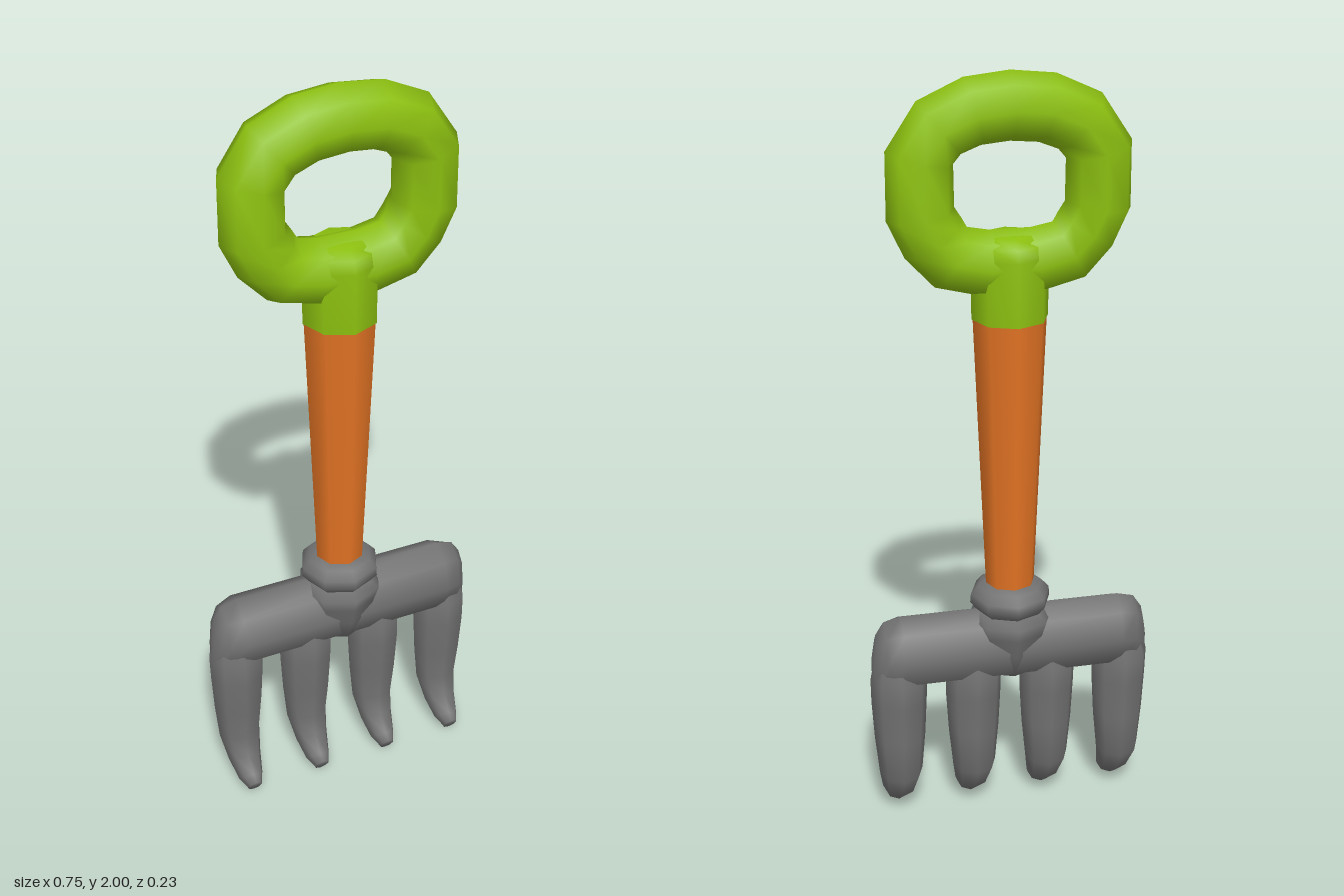
import * as THREE from 'three';

const SIDES = 8;
const material = (name, color) => {
  const m = new THREE.MeshStandardMaterial({ color });
  m.name = name;
  return m;
};

// Skin a row of elliptical sections {c, u, v} (u x v points along the row)
function loft(sections, closed = false) {
  const pos = [], idx = [], n = sections.length;
  for (const { c, u, v } of sections)
    for (let j = 0; j < SIDES; j++) {
      const a = (j / SIDES) * Math.PI * 2;
      pos.push(...c.clone().addScaledVector(u, Math.cos(a)).addScaledVector(v, Math.sin(a)).toArray());
    }
  for (let k = 0; k < (closed ? n : n - 1); k++)
    for (let j = 0; j < SIDES; j++) {
      const j2 = (j + 1) % SIDES, k2 = (k + 1) % n;
      const a = k * SIDES + j, b = k * SIDES + j2, c = k2 * SIDES + j, d = k2 * SIDES + j2;
      idx.push(a, b, c, b, d, c);
    }
  if (!closed) {
    const s = n * SIDES, last = (n - 1) * SIDES;
    pos.push(...sections[0].c.toArray(), ...sections[n - 1].c.toArray());
    for (let j = 0; j < SIDES; j++) {
      const j2 = (j + 1) % SIDES;
      idx.push(s, j2, j, s + 1, last + j, last + j2);
    }
  }
  const g = new THREE.BufferGeometry();
  g.setAttribute('position', new THREE.Float32BufferAttribute(pos, 3));
  g.setIndex(idx);
  g.computeVertexNormals();
  return g;
}

const V = (x, y, z) => new THREE.Vector3(x, y, z);
const lathe = (pts) => new THREE.LatheGeometry(pts.map(([r, y]) => new THREE.Vector2(r, y)), SIDES);

export function createModel() {
  const green = material('green grip', 0x8cc010);
  const orange = material('orange shaft', 0xe27324);
  const grey = material('grey metal', 0x727272);
  const group = new THREE.Group();
  group.name = 'handFork';
  const add = (name, geometry, mat) => {
    const mesh = new THREE.Mesh(geometry, mat);
    mesh.name = name;
    group.add(mesh);
    return mesh;
  };

  // Looped grip: half of the centre line, mirrored, running clockwise
  const half = [[0.09, 1.908], [0.17, 1.873], [0.217, 1.805], [0.217, 1.67], [0.187, 1.61], [0.145, 1.56], [0.06, 1.54]];
  const path = [[0, 1.917], ...half, ...half.slice().reverse().map(([x, y]) => [-x, y])];
  const gripSections = path.map(([x, y], i) => {
    const p = path[(i + path.length - 1) % path.length], q = path[(i + 1) % path.length];
    const d = V(q[0] - p[0], q[1] - p[1], 0).normalize();
    return { c: V(x, y, 0), u: V(-d.y, d.x, 0).multiplyScalar(0.083), v: V(0, 0, 0.083) };
  });
  add('gripLoop', loft(gripSections, true), green);

  // Collar with a rounded top, then the tapered shaft
  add('gripCollar', lathe([[0.096, 1.4], [0.097, 1.56], [0.085, 1.59], [0.058, 1.61], [0, 1.612]]), green);
  const shaft = add('shaft', new THREE.CylinderGeometry(0.093, 0.063, 0.74, SIDES), orange);
  shaft.position.y = 1.03;

  // Metal ferrule and the socket tapering into the head
  add('ferrule', lathe([[0, 0.595], [0.085, 0.598], [0.106, 0.625], [0.104, 0.648], [0.085, 0.67], [0.055, 0.682], [0, 0.682]]), grey);
  add('socket', lathe([[0, 0.4], [0.055, 0.42], [0.085, 0.49], [0.1, 0.545], [0.112, 0.582], [0.085, 0.604], [0, 0.606]]), grey);

  // Cross bar, from x, top, bottom and half depth
  const end = [[0.29, 0.606, 0.4, 0.079], [0.335, 0.595, 0.39, 0.06], [0.358, 0.56, 0.38, 0.035], [0.369, 0.5, 0.38, 0.012]];
  const bar = [...end.slice().reverse().map(([x, ...r]) => [-x, ...r]), ...end];
  add('crossBar', loft(bar.map(([x, t, b, rz]) => ({
    c: V(x, (t + b) / 2, -0.003), u: V(0, (t - b) / 2, 0), v: V(0, 0, rz),
  }))), grey);

  // Curved tines, from front z and y, back z and y, and half width
  const tine = [
    [0.03, 0.56, -0.04, 0.56, 0.05],
    [0.066, 0.43, -0.075, 0.43, 0.075],
    [0.066, 0.36, -0.068, 0.36, 0.074],
    [0.058, 0.25, -0.061, 0.25, 0.068],
    [0.05, 0.155, -0.055, 0.13, 0.058],
    [0.063, 0.1, 0.0, 0.05, 0.046],
    [0.098, 0.057, 0.05, 0.012, 0.034],
    [0.115, 0.042, 0.095, 0.001, 0.02],
  ];
  for (const x of [-0.3, -0.1, 0.1, 0.3])
    add('tine', loft(tine.map(([fz, fy, bz, by, rx]) => ({
      c: V(x, (fy + by) / 2, (fz + bz) / 2),
      u: V(rx, 0, 0),
      v: V(0, (fy - by) / 2, (fz - bz) / 2),
    }))), grey);

  return group;
}
